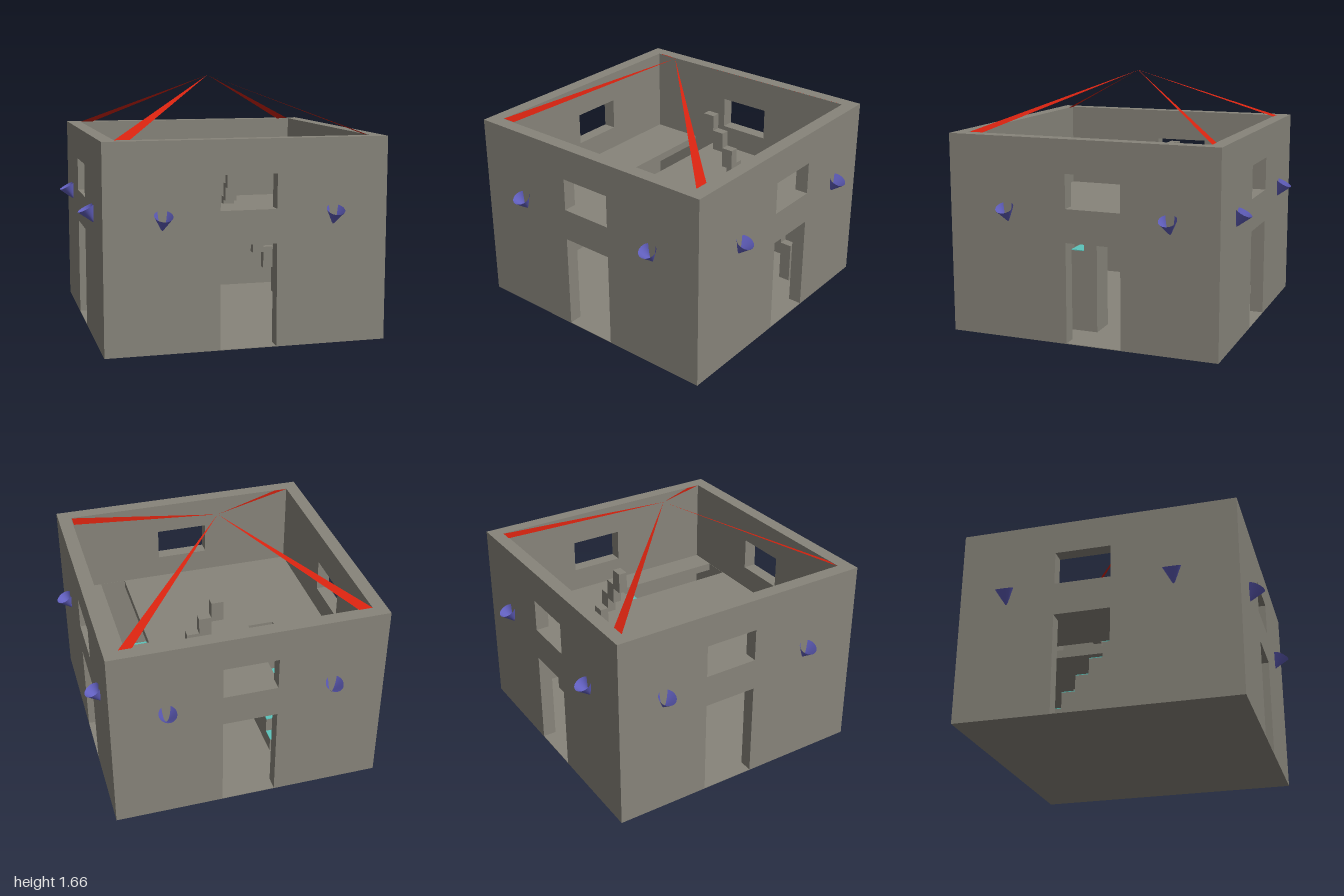
import * as THREE from 'three';

export function createModel() {
  const model = new THREE.Group();
  const material = (name, color, side = THREE.FrontSide) => {
    const m = new THREE.MeshStandardMaterial({ color, side });
    m.name = name;
    return m;
  };
  const stone = material('stone', 0x87847a);
  const teal = material('teal tread', 0x5cc4bb);
  const red = material('red beam', 0xd4220f, THREE.DoubleSide);
  const blue = material('blue lamp', 0x6260c0, THREE.DoubleSide);

  const add = (name, geometry, mat, parent = model) => {
    const mesh = new THREE.Mesh(geometry, mat);
    mesh.name = name;
    parent.add(mesh);
    return mesh;
  };
  // Box given by its minimum and maximum corners
  const box = (name, [x0, y0, z0], [x1, y1, z1], mat, parent) =>
    add(name, new THREE.BoxGeometry(x1 - x0, y1 - y0, z1 - z0)
      .translate((x0 + x1) / 2, (y0 + y1) / 2, (z0 + z1) / 2), mat, parent);
  const points = list => list.map(([x, y]) => new THREE.Vector2(x, y));
  const rectangle = (x0, y0, x1, y1) =>
    new THREE.Path(points([[x0, y0], [x0, y1], [x1, y1], [x1, y0]]));

  const HEIGHT = 1.305, THICK = 0.09, DOOR = 0.655, FLOOR = 0.71;

  // Walls, each with a doorway and a window above it
  const wallGeometry = (half, d0, d1) => {
    const shape = new THREE.Shape(points([
      [-half, 0], [d0, 0], [d0, DOOR], [d1, DOOR], [d1, 0],
      [half, 0], [half, HEIGHT], [-half, HEIGHT],
    ]));
    shape.holes.push(rectangle(d0, 0.87, d1, 1.09));
    return new THREE.ExtrudeGeometry(shape, { depth: THICK, bevelEnabled: false });
  };
  const wide = () => wallGeometry(0.9, -0.18, 0.18);
  const narrow = () => wallGeometry(0.81, -0.27, 0.095).rotateY(-Math.PI / 2);
  add('frontWall', wide().translate(0, 0, 0.81), stone);
  add('backWall', wide().translate(0, 0, -0.9), stone);
  add('leftWall', narrow().translate(0.9, 0, 0), stone);
  add('rightWall', narrow().translate(-0.81, 0, 0), stone);

  // Ground floor, and upper floor with two stairwells
  box('groundFloor', [-0.9, 0, -0.9], [0.9, 0.004, 0.9], stone);
  const slab = new THREE.Shape(points([[-0.82, -0.82], [0.82, -0.82], [0.82, 0.82], [-0.82, 0.82]]));
  slab.holes.push(rectangle(-0.45, -0.809, -0.27, 0), rectangle(0.45, 0, 0.63, 0.809));
  add('upperFloor', new THREE.ExtrudeGeometry(slab, { depth: FLOOR - DOOR, bevelEnabled: false })
    .rotateX(Math.PI / 2).translate(0, FLOOR, 0), stone);

  // Two straight stairs rising toward the middle, with coloured treads
  const stair = (name, x, side) => {
    const group = new THREE.Group();
    group.name = name;
    for (let i = 0; i < 6; i++) {
      const a = side * i * 0.09, b = side * (i + 1) * 0.09;
      const z0 = Math.min(a, b), z1 = Math.max(a, b);
      const top = DOOR * (6 - i) / 6;
      box('stairStep', [x, 0, z0], [x + 0.18, top - 0.005, z1], stone, group);
      box('stairTread', [x, top - 0.005, z0], [x + 0.18, top, z1], teal, group);
    }
    model.add(group);
  };
  stair('backStair', -0.45, -1);
  stair('frontStair', 0.45, 1);

  // Winding flight of small blocks: [x, z, bottom, top] of each block
  const blocks = [
    [0.02, -0.352, 1.06, 1.2], [0.102, -0.352, 0.95, 1.09], [0.184, -0.352, 0.84, 0.98],
    [0.184, -0.41, 0.74, 0.87], [0.184, -0.468, 0.7, 0.765],
    [0.266, -0.526, 0.52, 0.65], [0.348, -0.526, 0.42, 0.55], [0.43, -0.526, 0.32, 0.45],
    [0.512, -0.526, 0.2, 0.36], [0.594, -0.526, 0, 0.29],
  ];
  const flight = new THREE.Group();
  flight.name = 'windingSteps';
  for (const [x, z, y0, y1] of blocks)
    box('windingStep', [x, y0, z], [x + 0.082, y1, z + 0.058], stone, flight);
  model.add(flight);

  // Flat tapering roof beams meeting at one apex
  const apex = [-0.03, 1.665, -0.035];
  const beamFeet = [
    [[-0.81, 0.805], [-0.715, 0.805]],
    [[0.805, 0.805], [0.805, 0.71]],
    [[0.805, -0.815], [0.72, -0.815]],
    [[-0.72, -0.815], [-0.81, -0.815]],
  ];
  for (const [[ax, az], [bx, bz]] of beamFeet) {
    const g = new THREE.BufferGeometry();
    g.setAttribute('position', new THREE.Float32BufferAttribute(
      [ax, HEIGHT, az, bx, HEIGHT, bz, ...apex], 3));
    g.computeVertexNormals();
    add('roofBeam', g, red);
  }

  // Open cone lamps leaning out from every wall
  const lampGeometry = new THREE.ConeGeometry(0.058, 0.115, 32, 1, true)
    .rotateX(Math.PI).rotateX(THREE.MathUtils.degToRad(28)).translate(0, 0.808, 0.917);
  const lamp = (along, turn) => {
    const mesh = add('wallLamp', lampGeometry.clone().translate(along, 0, 0), blue);
    mesh.rotation.y = turn;
  };
  for (const x of [-0.54, 0.545]) {
    lamp(x, 0);
    lamp(-x, Math.PI);
  }
  for (const z of [-0.588, 0.493]) {
    lamp(-z, Math.PI / 2);
    lamp(z, -Math.PI / 2);
  }
  return model;
}
